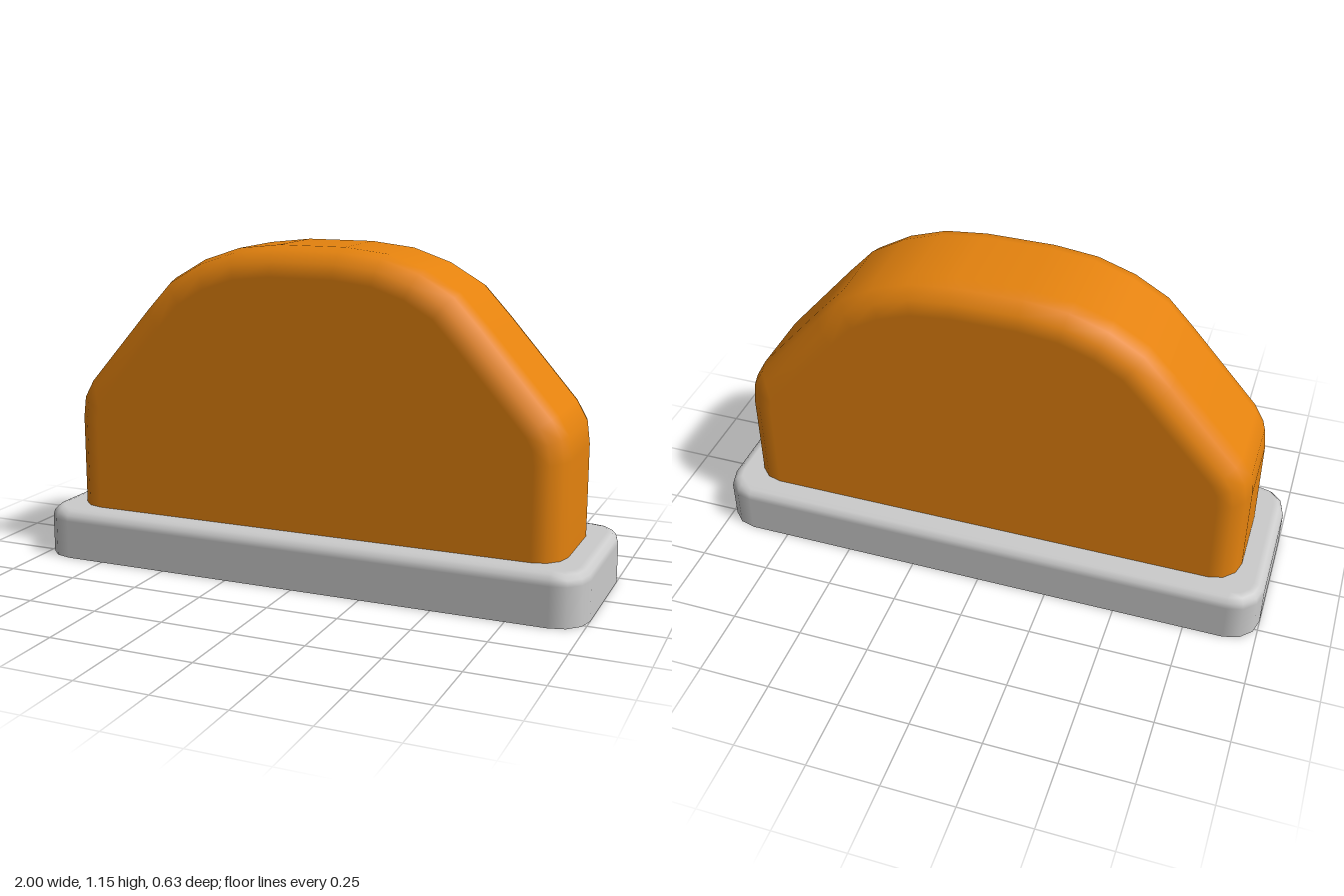
import * as THREE from 'three';

const V = (x, y, z) => new THREE.Vector3(x, y, z);

// Skin a grid of rows of { p, n } (point and normal)
function loft(rows) {
  const pos = [], nor = [], idx = [], w = rows[0].length;
  rows.forEach((row, i) => row.forEach(({ p, n }, j) => {
    pos.push(p.x, p.y, p.z);
    nor.push(n.x, n.y, n.z);
    if (i && j) {
      const d = i * w + j, c = d - 1, b = d - w, a = b - 1;
      idx.push(a, b, c, b, d, c);
    }
  }));
  const g = new THREE.BufferGeometry();
  g.setAttribute('position', new THREE.Float32BufferAttribute(pos, 3));
  g.setAttribute('normal', new THREE.Float32BufferAttribute(nor, 3));
  g.setIndex(idx);
  return g;
}

// Rounded rectangle at height y; lift tilts the normals upwards
function roundedRow(hx, hz, r, y, lift) {
  const row = [], seg = 3;
  for (let q = 0; q < 4; q++) {
    const sx = q === 0 || q === 3 ? 1 : -1, sz = q < 2 ? -1 : 1;
    for (let k = 0; k <= seg; k++) {
      const t = (q + k / seg) * Math.PI / 2, c = Math.cos(t), s = -Math.sin(t);
      row.push({
        p: V(sx * (hx - r) + r * c, y, sz * (hz - r) + r * s),
        n: V(c * Math.cos(lift), Math.sin(lift), s * Math.cos(lift)),
      });
    }
  }
  row.push(row[0]);
  return row;
}

export function createModel() {
  const group = new THREE.Group();
  const grey = new THREE.MeshStandardMaterial({ color: 0xcccccc, side: THREE.DoubleSide });
  const orange = new THREE.MeshStandardMaterial({ color: 0xe4820e, side: THREE.DoubleSide });
  const add = (name, geometry, material, parent = group) => {
    const mesh = new THREE.Mesh(geometry, material);
    mesh.name = name;
    parent.add(mesh);
    return mesh;
  };

  const SEG = 3, BODY_X = 0.905, BODY_Z = 0.227, FILLET = 0.1, BASE_H = 0.177;

  // Base: hollow skirt with a filleted top rim, open below and under the body
  const baseRows = [roundedRow(1, 0.317, 0.11, 0, 0)];
  const rim = 0.04;
  for (let k = 0; k <= SEG; k++) {
    const a = k / SEG * Math.PI / 2, inset = rim * (1 - Math.cos(a));
    baseRows.push(roundedRow(1 - inset, 0.317 - inset, 0.11 - inset, BASE_H - rim * (1 - Math.sin(a)), a));
  }
  baseRows.push(roundedRow(BODY_X, BODY_Z, FILLET, BASE_H, Math.PI / 2));
  add('base', loft(baseRows), grey);

  // Body outline, right foot over the top to the left foot
  const half = [[BODY_X, BASE_H], [BODY_X, 0.5], [0.895, 0.578], [0.858, 0.644], [0.618, 0.918],
    [0.525, 1.018], [0.405, 1.088], [0.272, 1.133], [0.12, 1.15]];
  const outline = [...half, ...half.map(([x, y]) => [-x, y]).reverse()]
    .map(([x, y]) => new THREE.Vector2(x, y));
  const edges = outline.slice(1).map((p, i) => {
    const d = p.clone().sub(outline[i]), length = d.length();
    return { length, n: new THREE.Vector2(d.y, -d.x).divideScalar(length) };
  });
  const stations = outline.map((p, i) => {
    const e = edges[Math.max(i - 1, 0)], f = edges[Math.min(i, edges.length - 1)];
    const miter = e.n.clone().add(f.n).divideScalar(1 + e.n.dot(f.n));
    const n = e.n.clone().multiplyScalar(e.length).addScaledVector(f.n, f.length).normalize();
    return { p, miter, n };
  });

  // Filleted band: each station runs from the front face to the back face
  const band = stations.map(({ p, miter, n }) => {
    const row = [];
    for (const side of [1, -1]) {
      for (let k = 0; k <= SEG; k++) {
        const a = (side > 0 ? SEG - k : k) / SEG * Math.PI / 2;
        const q = p.clone().addScaledVector(miter, -FILLET * (1 - Math.cos(a)));
        row.push({
          p: V(q.x, q.y, side * (BODY_Z - FILLET * (1 - Math.sin(a)))),
          n: V(n.x * Math.cos(a), n.y * Math.cos(a), side * Math.sin(a)),
        });
      }
    }
    return row;
  });
  const body = new THREE.Group();
  body.name = 'body';
  group.add(body);
  add('bodyRim', loft(band), orange, body);

  // Flat front and back faces
  const face = new THREE.ShapeGeometry(new THREE.Shape(
    stations.map(({ p, miter }) => p.clone().addScaledVector(miter, -FILLET))));
  add('frontFace', face, orange, body).position.z = BODY_Z;
  const back = add('backFace', face, orange, body);
  back.position.z = -BODY_Z;
  back.rotation.y = Math.PI;

  return group;
}
